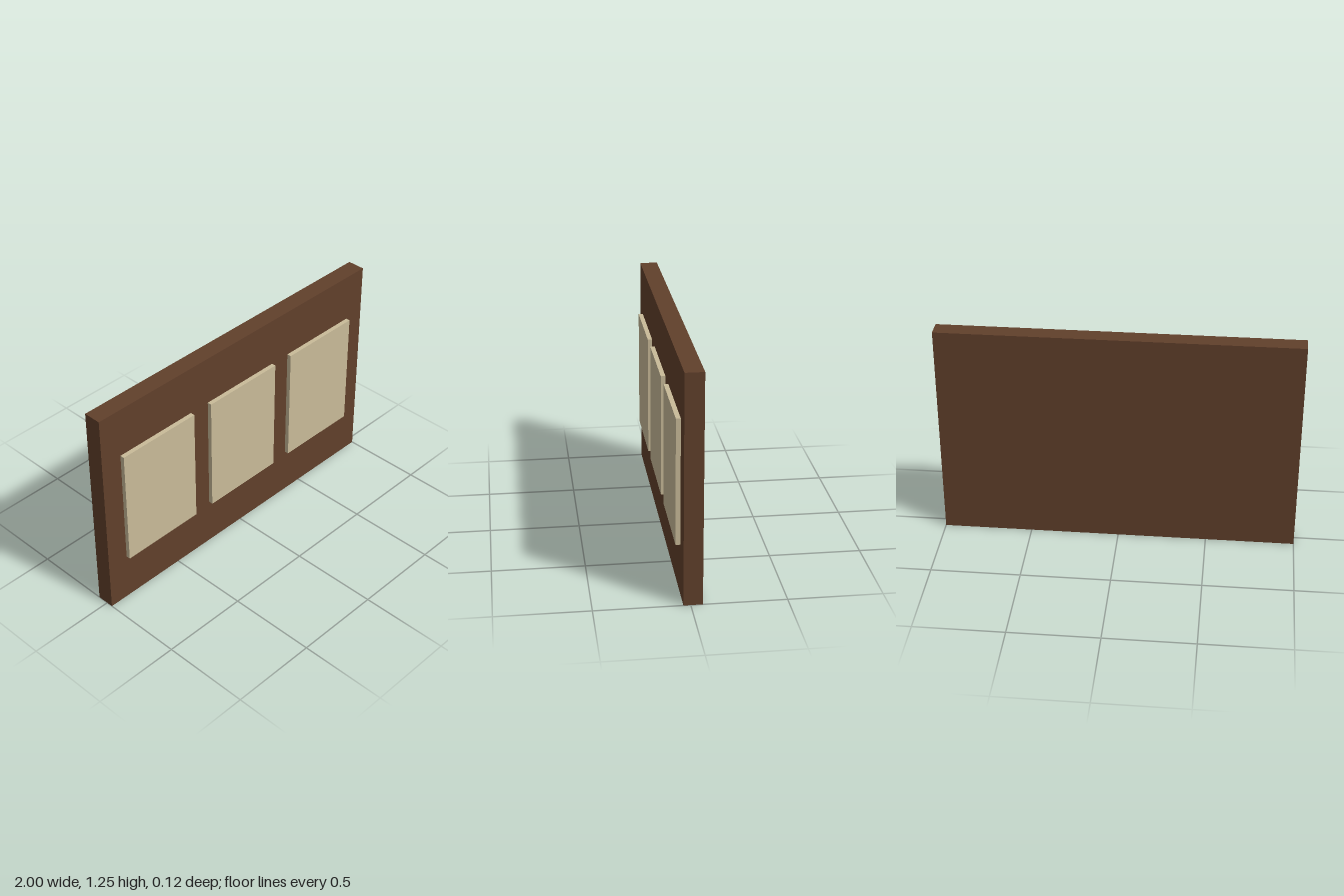
import * as THREE from 'three';

export function createModel() {
  const model = new THREE.Group();
  model.name = 'noticeBoard';

  const wood = new THREE.MeshStandardMaterial({ color: 0x61402b });
  wood.name = 'dark wood';
  const paper = new THREE.MeshStandardMaterial({ color: 0xc9bb99 });
  paper.name = 'parchment';

  const addBox = (name, size, position, material) => {
    const mesh = new THREE.Mesh(new THREE.BoxGeometry(...size), material);
    mesh.name = name;
    mesh.position.set(...position);
    model.add(mesh);
  };

  // Backing board
  addBox('board', [2, 1.25, 0.1], [0, 0.625, -0.0125], wood);

  // Three raised panels, evenly spaced across the front
  ['rightPanel', 'middlePanel', 'leftPanel'].forEach((name, i) => {
    addBox(name, [0.5, 0.6875, 0.025], [(i - 1) * 0.625, 0.625, 0.05], paper);
  });

  return model;
}
